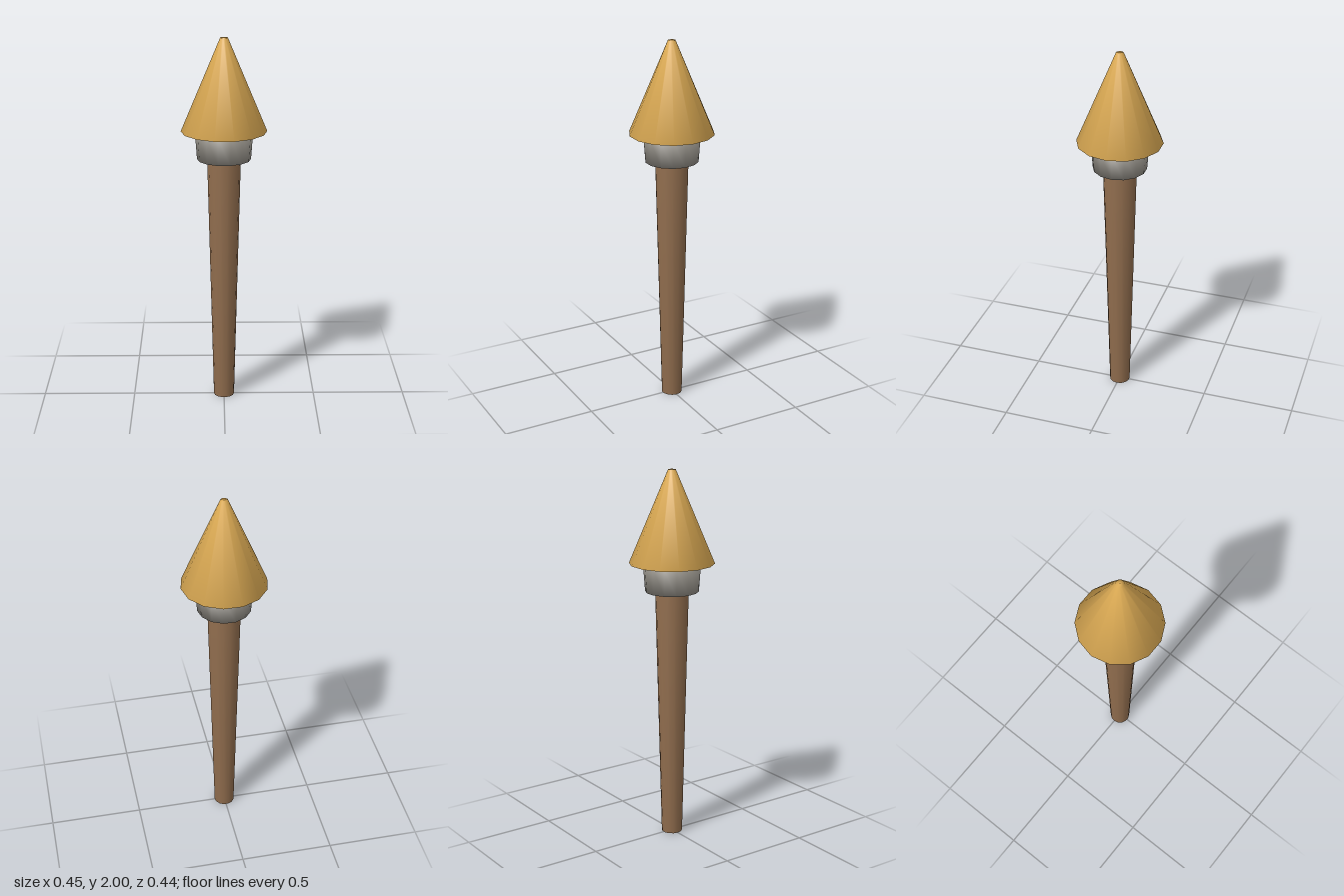
import * as THREE from 'three';

const SIDES = 14;

// Closed, fully smooth tapered drum, with a corner of the polygon on the x axis
function drum(name, material, rBottom, yBottom, rTop, yTop) {
  const profile = [
    [0, yBottom], [rBottom, yBottom], [rTop, yTop], [0, yTop],
  ].map(([r, y]) => new THREE.Vector2(r, y));
  const mesh = new THREE.Mesh(new THREE.LatheGeometry(profile, SIDES, Math.PI / 2), material);
  mesh.name = name;
  return mesh;
}

function flat(name, color) {
  const material = new THREE.MeshStandardMaterial({ color });
  material.name = name;
  return material;
}

export function createModel() {
  const wood = flat('brown wood', 0x8f6c4d);
  const metal = flat('grey metal', 0x928e86);
  const gold = flat('gold', 0xdfad55);

  const model = new THREE.Group();
  model.name = 'torch';
  model.add(
    drum('handle', wood, 0.056, 0, 0.089, 1.37), // slender shaft, wider at the top
    drum('collar', metal, 0.142, 1.36, 0.153, 1.512), // holds the tip
    drum('tip', gold, 0.226, 1.51, 0.02, 2), // overhanging blunt cone
  );
  return model;
}
